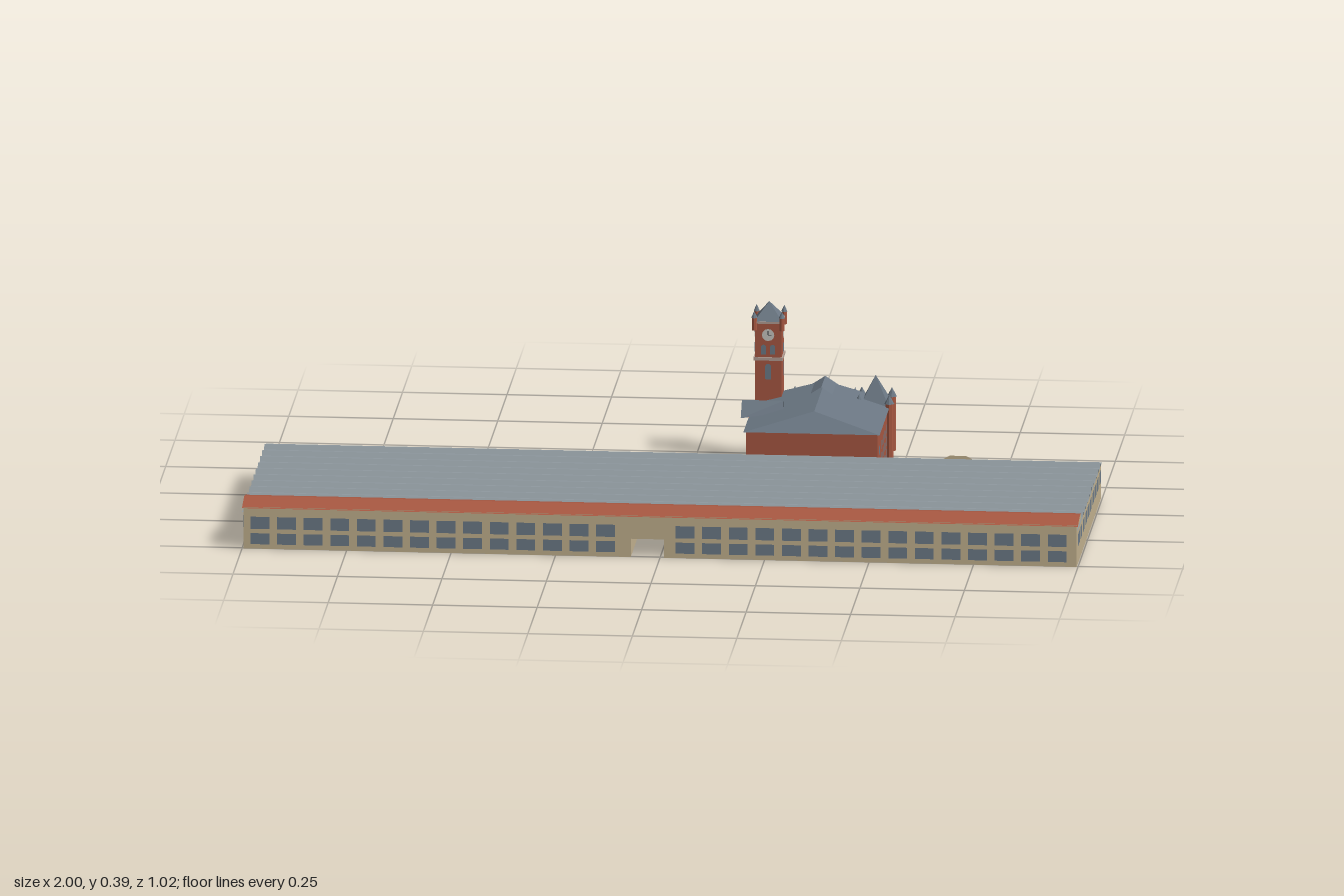
import * as THREE from 'three';

const mat = (name, color) => {
  const m = new THREE.MeshStandardMaterial({ color, side: THREE.DoubleSide });
  m.name = name;
  return m;
};

export function createModel() {
  const tan = mat('sandstone', 0xc3b28f), brick = mat('red brick', 0xa85842), clay = mat('clay roof', 0xa85842);
  const metal = mat('metal roof', 0x8f999f), slate = mat('slate', 0x6b7783), glass = mat('window glass', 0x6d7b88);
  const stone = mat('pale stone', 0xb59f94), face = mat('clock face', 0xc9c8c2), dark = mat('clock hands', 0x30353a);
  const root = new THREE.Group();
  const hall = new THREE.Group(), church = new THREE.Group();
  hall.name = 'marketHall';
  church.name = 'church';
  root.add(hall, church);

  const add = (parent, name, geo, m, x = 0, y = 0, z = 0, ry = 0) => {
    const mesh = new THREE.Mesh(geo, m);
    mesh.name = name;
    mesh.position.set(x, y, z);
    mesh.rotation.y = ry;
    parent.add(mesh);
    return mesh;
  };
  const flat = g => { const n = g.index ? g.toNonIndexed() : g; n.computeVertexNormals(); return n; };
  // Four walls without top or bottom
  const walls = (w, h, d) => {
    const g = new THREE.BoxGeometry(w, h, d), ix = Array.from(g.index.array);
    g.setIndex([...ix.slice(0, 12), ...ix.slice(24)]);
    g.clearGroups();
    return g;
  };
  const shape = pts => new THREE.ShapeGeometry(new THREE.Shape(pts.map(p => new THREE.Vector2(...p))));
  // Flat-shaded polygons given as corner loops
  const faces = list => {
    const a = [];
    list.forEach(f => { for (let i = 1; i < f.length - 1; i++) a.push(...f[0], ...f[i], ...f[i + 1]); });
    const g = new THREE.BufferGeometry();
    g.setAttribute('position', new THREE.Float32BufferAttribute(a, 3));
    g.computeVertexNormals();
    return g;
  };
  // Open strip along x from a [z, y] profile ordered back to front
  const strip = (prof, x0, x1) => faces(prof.slice(1).map((q, i) => {
    const p = prof[i];
    return [[x0, p[1], p[0]], [x0, q[1], q[0]], [x1, q[1], q[0]], [x1, p[1], p[0]]];
  }));
  const pyramid = (w, h) => flat(new THREE.ConeGeometry(w / Math.SQRT2, h, 4, 1, true).rotateY(Math.PI / 4));
  const arch = (w, h) => {
    const s = new THREE.Shape(), r = w / 2;
    s.moveTo(-r, -h / 2);
    s.lineTo(r, -h / 2);
    s.lineTo(r, h / 2 - r);
    s.absarc(0, h / 2 - r, r, 0, Math.PI);
    s.closePath();
    return new THREE.ShapeGeometry(s, 5);
  };

  // ---------- Market hall ----------
  const H = 0.09, Z0 = -0.143, Z1 = 0.505, X = 0.997;
  const longWall = shape([[-X, 0], [-0.07, 0], [-0.07, 0.045], [0.01, 0.045], [0.01, 0], [X, 0], [X, H], [-X, H]]);
  add(hall, 'frontWall', longWall, tan, 0, 0, Z1);
  add(hall, 'backWall', longWall, tan, 0, 0, Z0);
  const endWall = new THREE.PlaneGeometry(Z1 - Z0, H), midZ = (Z0 + Z1) / 2;
  for (const s of [-1, 1]) add(hall, 'endWall', endWall, tan, s * X, H / 2, midZ, s * Math.PI / 2);

  // Passage running through the hall
  for (const x of [-0.07, 0.01]) add(hall, 'passageWall', endWall, tan, x, H / 2, midZ, x < 0 ? Math.PI / 2 : -Math.PI / 2);
  add(hall, 'passageCeiling', new THREE.PlaneGeometry(0.08, Z1 - Z0).rotateX(Math.PI / 2), metal, -0.03, 0.045, midZ);

  // Ribbed metal roof
  const prof = [[Z0, H]];
  for (let i = 0; i < 9; i++) {
    const z = -0.096 + i * 0.0577;
    prof.push([z - 0.009, H], [z, H + 0.011], [z + 0.009, H]);
  }
  prof.push([Z1, H]);
  add(hall, 'ribbedRoof', strip(prof, -1, 1), metal);

  // Raised front range with clay roof
  add(hall, 'frontParapet', walls(2 * X, 0.012, 0.115), tan, 0, 0.096, 0.4475);
  add(hall, 'clayRoof', strip([[0.383, 0.1], [0.412, 0.108], [0.445, 0.114], [0.478, 0.108], [0.509, 0.1]], -1, 1), clay);
  add(hall, 'backGablet', shape([[-0.035, 0], [0.035, 0], [0.02, 0.008], [-0.02, 0.008]]), tan, 0.655, H, Z0);

  // Hall windows
  const upper = new THREE.PlaneGeometry(0.045, 0.03), lower = new THREE.PlaneGeometry(0.045, 0.027);
  const bays = [];
  for (let i = 0; i < 14; i++) bays.push(-0.957 + i * 0.0636);
  for (let i = 0; i < 15; i++) bays.push(0.06 + i * 0.0636);
  for (const x of bays) {
    for (const [z, ry] of [[Z1 + 0.002, 0], [Z0 - 0.002, Math.PI]]) {
      add(hall, 'upperWindow', upper, glass, x, 0.064, z, ry);
      add(hall, 'lowerWindow', lower, glass, x, 0.025, z, ry);
    }
  }
  for (let i = 0; i < 10; i++)
    for (const s of [-1, 1])
      add(hall, 'endWindow', upper, glass, s * (X + 0.002), 0.062, 0.466 - i * 0.0635, s * Math.PI / 2);

  // ---------- Church body ----------
  const L = 0.148, R = 0.463, C = 0.308, B = -0.145, F = -0.472, E = 0.145;
  add(church, 'plinth', walls(R - L + 0.006, 0.022, B - F + 0.006), stone, (L + R) / 2, 0.011, (B + F) / 2);
  add(church, 'bodyWalls', walls(R - L, E, B - F), brick, (L + R) / 2, E / 2, (B + F) / 2);
  const a = [0.142, E, -0.14], b = [0.468, E, -0.14], c = [0.468, E, F], d = [0.142, E, F];
  const r0 = [C, 0.19, -0.18], r1 = [C, 0.19, F];
  add(church, 'mainRoof', faces([[a, b, r0], [b, c, r1, r0], [d, a, r0, r1]]), slate);

  // Entrance gable
  add(church, 'gableWall', shape([[-0.08, 0], [0.08, 0], [0.08, E], [0, 0.196], [-0.08, E]]), brick, C, 0, F - 0.003, Math.PI);
  const g0 = [C, 0.2, -0.372], g1 = [C, 0.2, -0.48];
  add(church, 'gableRoof', faces([1, -1].map(s => {
    const e = C + s * 0.083, q = [[e, E, -0.48], g1, g0, [e, E, -0.372]];
    return s > 0 ? q : q.reverse();
  })), slate);
  const fz = F - 0.005;
  add(church, 'windowSurround', arch(0.074, 0.078), stone, C, 0.102, fz, Math.PI);
  add(church, 'greatWindow', arch(0.058, 0.066), glass, C, 0.101, fz - 0.002, Math.PI);
  for (const x of [-0.01, 0.01]) add(church, 'mullion', new THREE.PlaneGeometry(0.003, 0.052), stone, C + x, 0.094, fz - 0.003, Math.PI);
  add(church, 'gableWindow', new THREE.CircleGeometry(0.008, 12), glass, C, 0.165, fz, Math.PI);
  for (const x of [-0.045, 0, 0.045]) add(church, 'door', arch(0.022, 0.032), glass, C + x, 0.016, fz, Math.PI);

  // Side gable over the right-hand roof slope
  add(church, 'sideGableRoof', faces([
    [[0.125, 0.148, -0.26], [0.225, 0.16, -0.278], [0.225, 0.185, -0.292], [0.125, 0.185, -0.292]],
    [[0.125, 0.185, -0.292], [0.225, 0.185, -0.292], [0.225, 0.16, -0.306], [0.125, 0.148, -0.324]]]), slate);
  add(church, 'sideGableWall', shape([[-0.03, -0.03], [0.03, -0.03], [0.03, 0], [0, 0.036], [-0.03, 0]]), brick, 0.143, 0.148, -0.292, -Math.PI / 2);

  // Side windows in three rows
  const sideWin = arch(0.02, 0.023);
  for (let i = 0; i < 5; i++)
    for (const y of [0.041, 0.072, 0.102]) {
      add(church, 'sideWindow', sideWin, glass, R + 0.002, y, -0.17 - i * 0.049, Math.PI / 2);
      add(church, 'sideWindow', sideWin, glass, L - 0.002, y, -0.17 - i * 0.049, -Math.PI / 2);
    }

  // Slim octagonal turret with pointed cap
  const turret = (x, z, y0, y1, r, tip) => {
    const t = new THREE.Group();
    t.name = 'pinnacle';
    add(t, 'shaft', flat(new THREE.CylinderGeometry(r, r, y1 - y0, 8)), brick, x, (y0 + y1) / 2, z);
    add(t, 'cap', flat(new THREE.ConeGeometry(r * 1.25, tip, 8)), slate, x, y1 + tip / 2, z);
    church.add(t);
  };
  for (const x of [0.236, 0.38]) turret(x, -0.474, 0.02, 0.155, 0.007, 0.02);

  // Four sides of a tower: calls fn with position and rotation of each face
  const around = (x, z, half, fn) => {
    for (let i = 0; i < 4; i++) {
      const t = i * Math.PI / 2;
      fn(x + Math.sin(t) * half, z + Math.cos(t) * half, t);
    }
  };
  const corners = (x, z, o, fn) => { for (const i of [-1, 1]) for (const j of [-1, 1]) fn(x + i * o, z + j * o); };

  // ---------- Clock tower ----------
  const tx = 0.177, tz = -0.445, tw = 0.064;
  add(church, 'clockTower', walls(tw, 0.345, tw), brick, tx, 0.1725, tz);
  add(church, 'towerBase', walls(tw + 0.004, 0.022, tw + 0.004), stone, tx, 0.011, tz);
  add(church, 'towerBelt', new THREE.BoxGeometry(tw + 0.006, 0.008, tw + 0.006), stone, tx, 0.256, tz);
  add(church, 'towerCornice', new THREE.BoxGeometry(tw + 0.006, 0.005, tw + 0.006), stone, tx, 0.345, tz);
  add(church, 'towerSpire', pyramid(tw + 0.004, 0.043), slate, tx, 0.3685, tz);
  corners(tx, tz, 0.033, (x, z) => turret(x, z, 0.326, 0.357, 0.006, 0.016));
  around(tx, tz, tw / 2 + 0.002, (x, z, ry) => {
    const dx = Math.cos(ry), dz = -Math.sin(ry), nx = Math.sin(ry) * 0.002, nz = Math.cos(ry) * 0.002;
    add(church, 'clockFace', new THREE.CircleGeometry(0.015, 12), face, x, 0.315, z, ry);
    add(church, 'minuteHand', new THREE.PlaneGeometry(0.0015, 0.011), dark, x + nx, 0.3205, z + nz, ry);
    add(church, 'hourHand', new THREE.PlaneGeometry(0.008, 0.0015), dark, x + nx + dx * 0.004, 0.315, z + nz + dz * 0.004, ry);
    for (const o of [-0.011, 0.011]) add(church, 'belfryWindow', arch(0.012, 0.024), glass, x + dx * o, 0.279, z + dz * o, ry);
    add(church, 'towerWindow', arch(0.014, 0.038), glass, x, 0.225, z, ry);
  });
  for (const y of [0.06, 0.11]) add(church, 'towerLowWindow', arch(0.016, 0.032), glass, tx, y, tz - tw / 2 - 0.002, Math.PI);

  // ---------- Corner tower ----------
  const cx = 0.432, cz = -0.438, cw = 0.07;
  add(church, 'cornerTower', walls(cw, 0.146, cw), brick, cx, 0.073, cz);
  add(church, 'cornerTowerBase', walls(cw + 0.004, 0.022, cw + 0.004), stone, cx, 0.011, cz);
  add(church, 'cornerSpire', pyramid(cw, 0.07), slate, cx, 0.181, cz);
  corners(cx, cz, 0.036, (x, z) => turret(x, z, 0.022, 0.155, 0.0095, 0.022));
  around(cx, cz, cw / 2 + 0.002, (x, z, ry) => {
    add(church, 'cornerWindow', arch(0.018, 0.04), glass, x, 0.11, z, ry);
    add(church, 'cornerLowWindow', arch(0.018, 0.032), glass, x, 0.056, z, ry);
  });

  // ---------- Entrance porch ----------
  add(church, 'porchRoof', new THREE.BoxGeometry(0.215, 0.007, 0.037), metal, 0.314, 0.038, -0.491);
  for (let i = 0; i < 5; i++)
    add(church, 'porchPost', new THREE.CylinderGeometry(0.0025, 0.0025, 0.036, 6), stone, 0.212 + i * 0.051, 0.018, -0.505);

  return root;
}
